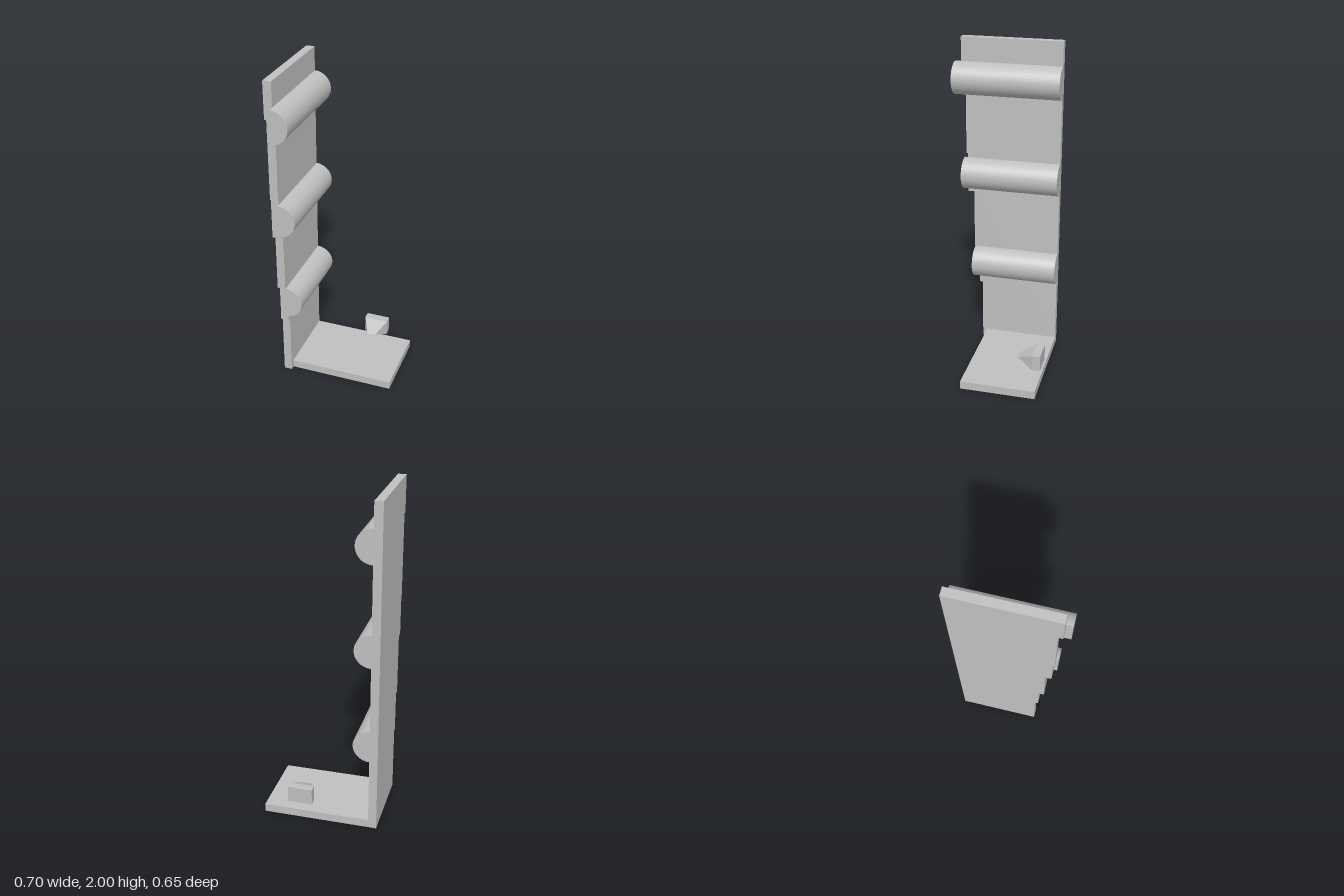
import * as THREE from 'three';
import { ConvexGeometry } from 'three/addons/geometries/ConvexGeometry.js';

const BACK = -0.326;

export function createModel() {
  const group = new THREE.Group();
  const grey = new THREE.MeshStandardMaterial({ color: 0xc0c0c0 });
  grey.name = 'grey';

  const add = (name, geometry) => {
    const mesh = new THREE.Mesh(geometry, grey);
    mesh.name = name;
    group.add(mesh);
    return mesh;
  };

  // Upright wall: front edge steps outward with height, [top of step, front z]
  const steps = [[0.4, 0.163], [0.655, 0.184], [1.03, 0.215], [1.28, 0.253], [1.78, 0.263], [2, 0.289]];
  const profile = new THREE.Shape();
  profile.moveTo(BACK, 0);
  let y = 0;
  for (const [top, front] of steps) {
    profile.lineTo(front, y);
    profile.lineTo(front, top);
    y = top;
  }
  profile.lineTo(BACK, 2);
  const wall = new THREE.ExtrudeGeometry(profile, { depth: 0.05, bevelEnabled: false });
  wall.rotateY(-Math.PI / 2).translate(-0.3, 0, 0);
  add('steppedWall', wall);

  // Floor plate
  const floor = new THREE.BoxGeometry(0.65, 0.05, 0.134 - BACK);
  floor.translate(0.025, 0.025, (0.134 + BACK) / 2);
  add('floorPlate', floor);

  // Half-round bars on the wall, longer towards the top: [centre y, front z]
  const half = new THREE.Shape();
  half.absarc(0, 0, 0.1, -Math.PI / 2, Math.PI / 2, false);
  half.closePath();
  [[0.555, 0.21], [1.155, 0.274], [1.755, 0.326]].forEach(([cy, front], i) => {
    const bar = new THREE.ExtrudeGeometry(half, { depth: front - BACK, bevelEnabled: false, curveSegments: 12 });
    add(`halfRoundBar${i + 1}`, bar.translate(-0.3, cy, BACK));
  });

  // Small floating block tapering forward to a short horizontal edge
  const points = [];
  for (const s of [-1, 1]) {
    for (const t of [-1, 1]) {
      for (const z of [BACK, -0.277]) points.push(new THREE.Vector3(0.125 + s * 0.075, 0.15 + t * 0.05, z));
    }
    points.push(new THREE.Vector3(0.125 + s * 0.027, 0.15, -0.178));
  }
  add('wedgeBlock', new ConvexGeometry(points));

  return group;
}
